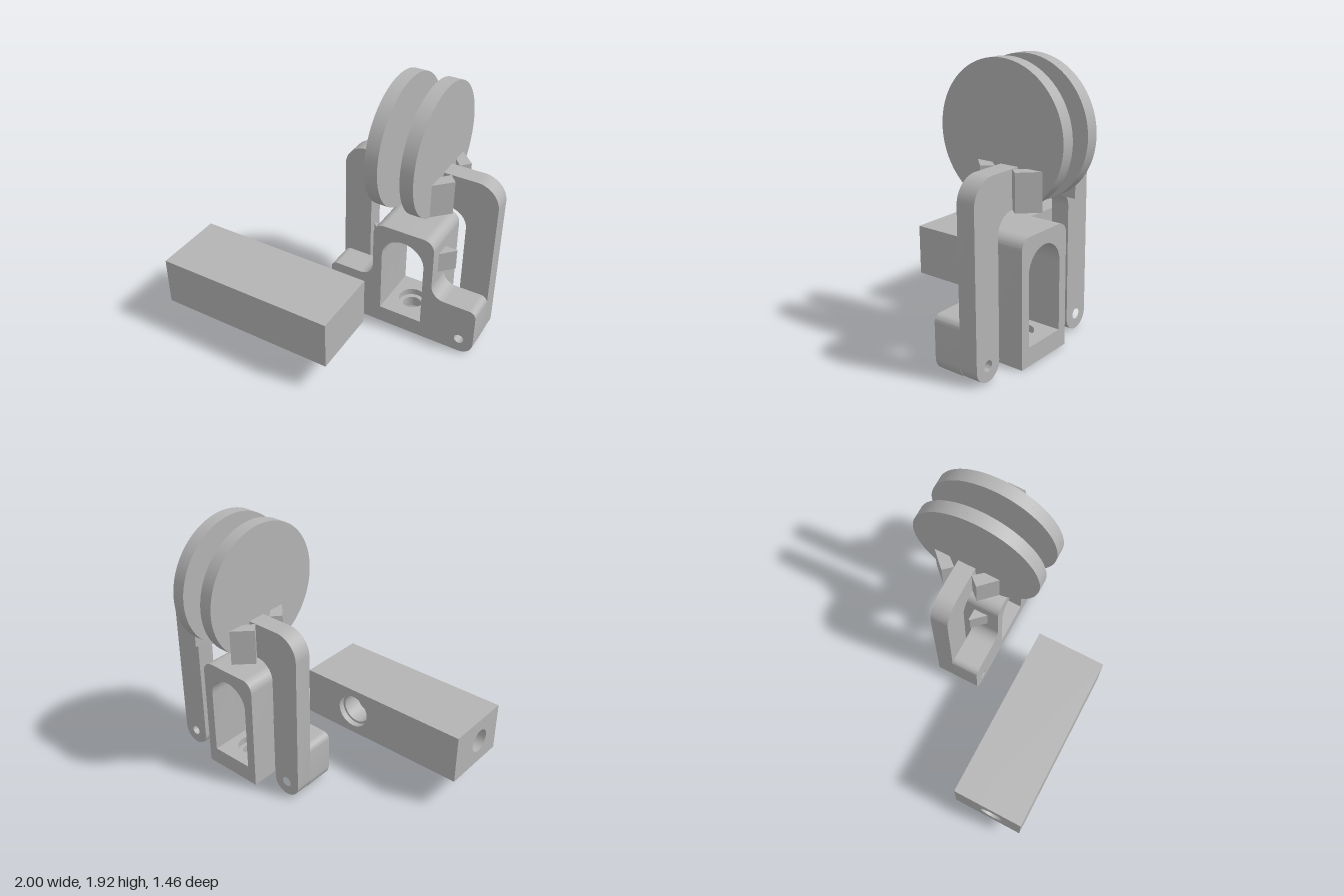
import * as THREE from 'three';
import { toCreasedNormals } from 'three/addons/utils/BufferGeometryUtils.js';

const grey = new THREE.MeshStandardMaterial({ color: 0xb4b4b4 });
grey.name = 'plain grey';

// Closed outline from [x, y, cornerRadius] points
function outline(points) {
  const shape = new THREE.Shape();
  const n = points.length;
  points.forEach(([x, y, r = 0], i) => {
    const p = new THREE.Vector2(x, y);
    const toward = ([qx, qy], d) => new THREE.Vector2(qx - x, qy - y).setLength(d).add(p);
    const before = points[(i + n - 1) % n], after = points[(i + 1) % n];
    const a = r ? toward(before, r) : p;
    if (i === 0) shape.moveTo(a.x, a.y); else shape.lineTo(a.x, a.y);
    if (r) {
      const b = toward(after, r);
      const c1 = toward(before, r * 0.448), c2 = toward(after, r * 0.448);
      shape.bezierCurveTo(c1.x, c1.y, c2.x, c2.y, b.x, b.y);
    }
  });
  shape.closePath();
  return shape;
}

const rect = (x0, y0, x1, y1) => outline([[x0, y0], [x1, y0], [x1, y1], [x0, y1]]);

function drill(shape, x, y, r) {
  const hole = new THREE.Path();
  hole.absarc(x, y, r, 0, Math.PI * 2, true);
  shape.holes.push(hole);
  return shape;
}

// Extrude along an axis between two positions.
// Shape coordinates: z -> (x, y), y -> (x, -z), x -> (-z, y)
function solid(parent, name, shape, axis, from, to, curveSegments = 16) {
  let g = new THREE.ExtrudeGeometry(shape, { depth: to - from, bevelEnabled: false, curveSegments });
  g.translate(0, 0, from);
  if (axis === 'y') g.rotateX(-Math.PI / 2);
  if (axis === 'x') g.rotateY(Math.PI / 2);
  g = toCreasedNormals(g, 0.6);
  const mesh = new THREE.Mesh(g, grey);
  mesh.name = name;
  parent.add(mesh);
  return mesh;
}

function createBar() {
  const bar = new THREE.Group();
  bar.name = 'bar';
  const y0 = 0.235, y1 = 0.595, yc = 0.415;
  // Back layers carry the stepped round socket
  solid(bar, 'socketRim', drill(rect(-1, y0, 0.295, y1), -0.12, yc, 0.125), 'z', 0.22, 0.265);
  solid(bar, 'socketWall', drill(rect(-1, y0, 0.295, y1), -0.12, yc, 0.108), 'z', 0.265, 0.41);
  // End piece carries the smaller socket
  solid(bar, 'endSocket', drill(rect(-0.73, y0, -0.41, y1), -0.51, yc, 0.085), 'x', -1, -0.82);
  solid(bar, 'barCore', rect(-0.82, y0, 0.295, y1), 'z', 0.41, 0.73);
  return bar;
}

function createStand() {
  const stand = new THREE.Group();
  stand.name = 'stand';
  stand.position.x = 0.43;

  // Front plate with feet, and the column behind it, both around the arched window
  const arch = [[-0.161, 0], [-0.161, 0.77, 0.1605], [0.161, 0.77, 0.1605], [0.161, 0]];
  const top = [[0.23, 0.86, 0.08], [-0.23, 0.86, 0.08]];
  const plate = outline([
    ...arch,
    [0.57, 0, 0.105], [0.57, 0.39, 0.05], [0.23, 0.39, 0.1],
    ...top,
    [-0.23, 0.39, 0.1], [-0.57, 0.39, 0.05], [-0.57, 0, 0.105],
  ]);
  for (const s of [-1, 1]) drill(plate, s * 0.465, 0.11, 0.036);
  solid(stand, 'frontPlate', plate, 'z', -0.275, -0.073);
  solid(stand, 'backColumn', outline([...arch, [0.23, 0], ...top, [-0.23, 0]]), 'z', -0.48, -0.275);

  // Window floor with a counterbored hole
  const floor = () => rect(-0.161, 0.073, 0.161, 0.48);
  solid(stand, 'floorLower', drill(floor(), 0, 0.277, 0.068), 'y', 0, 0.08);
  solid(stand, 'floorUpper', drill(floor(), 0, 0.277, 0.1), 'y', 0.08, 0.13);

  for (const s of [-1, 1]) {
    const side = s > 0 ? 'left' : 'right';

    // Hooked arm with a rounded, drilled foot
    const arm = outline([
      [s * 0.36, 0.005, 0.104], [s * 0.57, 0.005, 0.104], [s * 0.57, 1.287, 0.165],
      [s * 0.17, 1.287], [s * 0.17, 1.035], [s * 0.36, 1.035, 0.13],
    ]);
    solid(stand, side + 'Arm', drill(arm, s * 0.465, 0.11, 0.036), 'z', -0.405, -0.275);

    // Slanted claws that brace the disc in front of and behind the arm
    for (const back of [false, true]) {
      const claw = [[0.17, -0.095], [0.283, -0.21], [0.225, -0.275], [0.17, -0.21]]
        .map(([x, z]) => [s * x, back ? 0.68 + z : -z]);
      solid(stand, side + (back ? 'BackClaw' : 'FrontClaw'), outline(claw), 'y', 1.04, 1.287);
    }

    // Wedge-shaped lug on the column
    const lug = outline([[s * 0.23, 0.16], [s * 0.32, 0.255], [s * 0.32, 0.265], [s * 0.23, 0.265]]);
    solid(stand, side + 'Lug', lug, 'y', 0.557, 0.712);

    // Disc: full inner layer, outer layer trimmed flat below the claws
    const full = new THREE.Shape().absarc(0.27, 1.46, 0.46, 0, Math.PI * 2);
    const cut = Math.asin(0.42 / 0.46);
    const trimmed = new THREE.Shape().absarc(0.27, 1.46, 0.46, -cut, Math.PI + cut);
    trimmed.closePath();
    const layer = (name, shape, a, b) =>
      solid(stand, name, shape, 'x', Math.min(s * a, s * b), Math.max(s * a, s * b), 64);
    layer(side + 'DiscInner', full, 0.078, 0.125);
    layer(side + 'DiscOuter', trimmed, 0.125, 0.17);
  }
  return stand;
}

export function createModel() {
  const model = new THREE.Group();
  model.name = 'discHolderWithBar';
  model.add(createBar(), createStand());
  return model;
}
